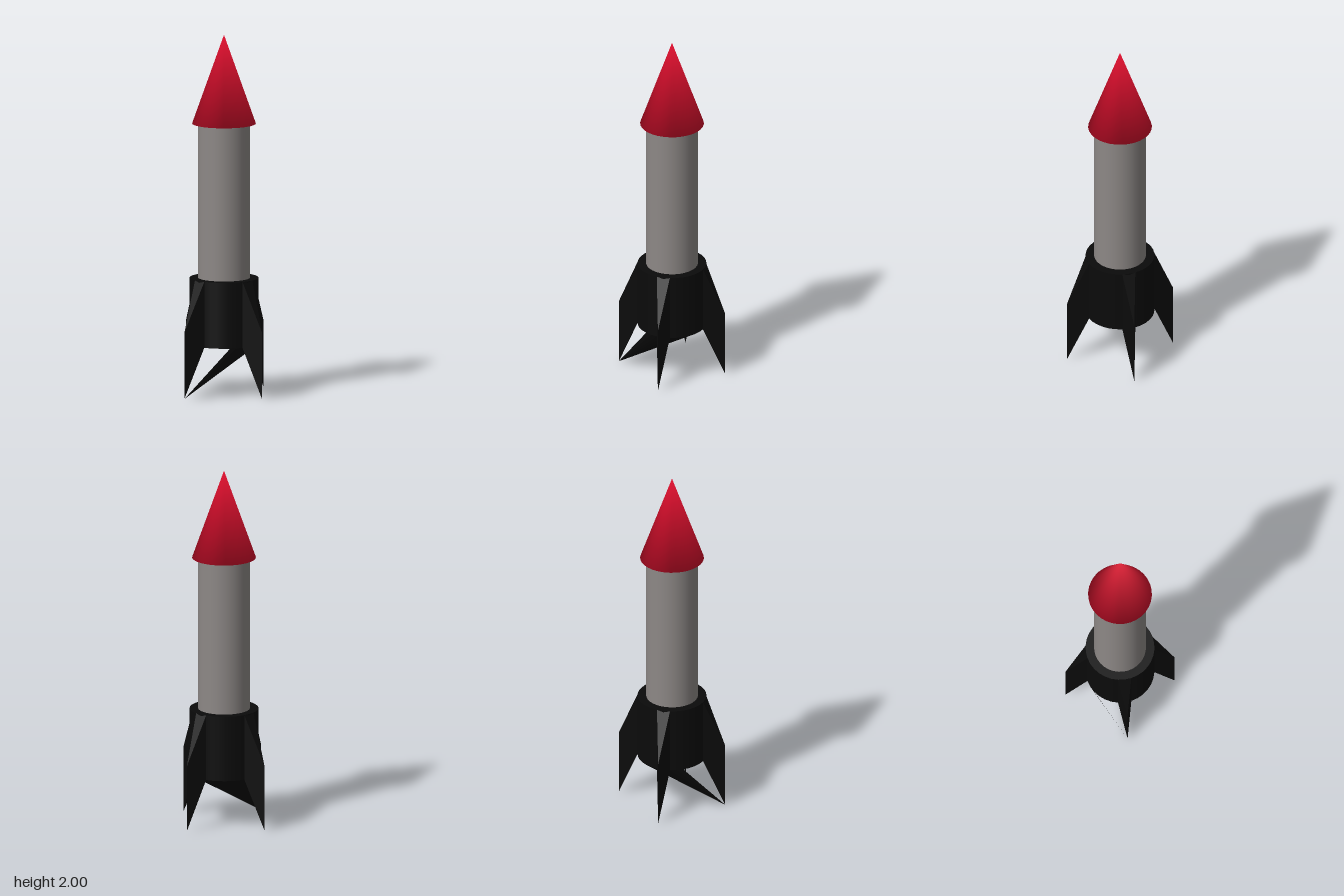
import * as THREE from 'three';
import { mergeVertices } from 'three/addons/utils/BufferGeometryUtils.js';

const SIDES = 32;
const black = new THREE.MeshStandardMaterial({ color: 0x0b0b0b });
const red = new THREE.MeshStandardMaterial({ color: 0xdf0f2e });
const grey = new THREE.MeshStandardMaterial({ color: 0x8d8886 });

// Engine collar and fin dimensions
const R = 0.19, TOP = 0.645, BOTTOM = 0.277;
const FIN = 0.303, FIN_TOP = 0.37;

function mesh(name, geometry, material, y = 0) {
  const m = new THREE.Mesh(geometry, material);
  m.name = name;
  m.position.y = y;
  return m;
}

// Flat-shaded geometry from a list of triangles of Vector3
function fromTriangles(triangles) {
  const g = new THREE.BufferGeometry().setFromPoints(triangles.flat());
  g.computeVertexNormals();
  return g;
}

// Cone whose shading rolls smoothly over the tip and around the rim
function softCone(radius, height) {
  let g = new THREE.ConeGeometry(radius, height, SIDES);
  g.deleteAttribute('uv');
  g.deleteAttribute('normal');
  g = mergeVertices(g);
  const p = g.attributes.position;
  const normals = new Float32Array(p.count * 3);
  for (let i = 0; i < p.count; i++) {
    const x = p.getX(i), z = p.getZ(i), r = Math.hypot(x, z);
    const n = r > 0.01
      ? [0.857 * x / r, -0.515, 0.857 * z / r]
      : [0, Math.sign(p.getY(i)), 0];
    normals.set(n, i * 3);
  }
  g.setAttribute('normal', new THREE.BufferAttribute(normals, 3));
  return g;
}

// Point on the lower or upper rim of the collar
function rim(i, y) {
  const a = (i / SIDES) * Math.PI * 2;
  return new THREE.Vector3(R * Math.sin(a), y, R * Math.cos(a));
}

// Wedge fin pointing to +z, tapering to a vertical knife edge
function finGeometry() {
  const a = rim(1, TOP), b = rim(-1, TOP), c = rim(1, BOTTOM), d = rim(-1, BOTTOM);
  const u = new THREE.Vector3(0, FIN_TOP, FIN), l = new THREE.Vector3(0, 0, FIN);
  return fromTriangles([
    [a, u, l], [a, l, c], // side
    [b, l, u], [b, d, l], // other side
    [b, u, a], [c, l, d], // top and bottom slopes
  ]);
}

// Sloping underside fanning from the front fin tip to the rear rim
function undersideGeometry() {
  const tip = new THREE.Vector3(0, 0, FIN);
  const triangles = [];
  for (let i = 5; i < SIDES - 5; i++) {
    triangles.push([tip, rim(i + 1, BOTTOM), rim(i, BOTTOM)]);
  }
  return fromTriangles(triangles);
}

export function createModel() {
  const rocket = new THREE.Group();
  rocket.name = 'rocket';

  // Nose and body
  const noseHeight = 0.495;
  rocket.add(mesh('noseCone', softCone(0.176, noseHeight), red, 2 - noseHeight / 2));
  const bodyBottom = 0.6, bodyTop = 1.51;
  rocket.add(mesh('body',
    new THREE.CylinderGeometry(0.143, 0.143, bodyTop - bodyBottom, SIDES),
    grey, (bodyTop + bodyBottom) / 2));

  // Tail section
  const tail = new THREE.Group();
  tail.name = 'tail';
  tail.add(mesh('collar', new THREE.CylinderGeometry(R, R, TOP - BOTTOM, SIDES),
    black, (TOP + BOTTOM) / 2));
  tail.add(mesh('underside', undersideGeometry(), black));
  const finGeo = finGeometry();
  ['frontFin', 'leftFin', 'backFin', 'rightFin'].forEach((name, i) => {
    const fin = mesh(name, finGeo, black);
    fin.rotation.y = i * Math.PI / 2;
    tail.add(fin);
  });
  rocket.add(tail);
  return rocket;
}
